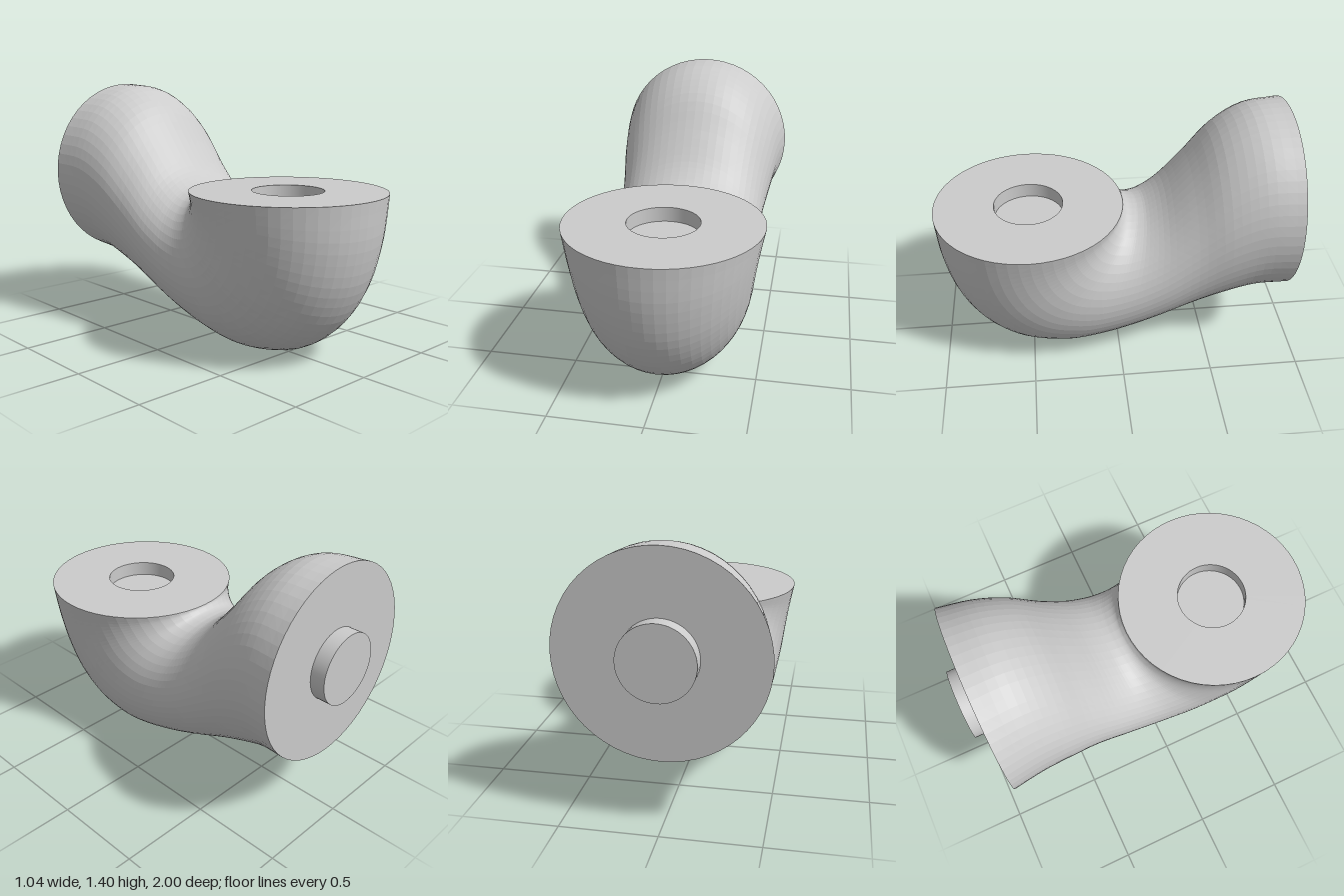
import * as THREE from 'three';

const SEG = 56, RINGS = 48;
const R = 0.52, PEG = 0.19, DEPTH = 0.08;

// Cross-sections from cup rim to rear flange:
// [inner z, inner y, outer z, outer y, half width]
const SECTIONS = [
  [-0.04, 0.875, 1.0, 0.875, 0.52],
  [-0.045, 0.865, 0.98, 0.63, 0.495],
  [-0.055, 0.855, 0.92, 0.4, 0.475],
  [-0.065, 0.847, 0.8, 0.2, 0.46],
  [-0.08, 0.842, 0.62, 0.06, 0.445],
  [-0.1, 0.84, 0.38, 0.003, 0.435],
  [-0.13, 0.842, 0.18, 0.022, 0.428],
  [-0.18, 0.862, -0.02, 0.075, 0.425],
  [-0.27, 0.935, -0.22, 0.145, 0.427],
  [-0.4, 1.09, -0.42, 0.225, 0.437],
  [-0.55, 1.275, -0.6, 0.29, 0.465],
  [-0.72, 1.38, -0.76, 0.34, 0.49],
  [-0.92, 1.4, -0.92, 0.36, 0.52],
];

// Elliptical sections lofted between the inner and outer bend profiles
function elbowGeometry() {
  const spline = (pts) => new THREE.CatmullRomCurve3(pts, false, 'catmullrom', 0.5);
  const inner = spline(SECTIONS.map((s) => new THREE.Vector3(0, s[1], s[0])));
  const outer = spline(SECTIONS.map((s) => new THREE.Vector3(s[4], s[3], s[2])));
  const pos = [], index = [];
  for (let i = 0; i <= RINGS; i++) {
    const a = inner.getPoint(i / RINGS), b = outer.getPoint(i / RINGS);
    for (let j = 0; j < SEG; j++) {
      const t = (j / SEG) * Math.PI * 2, c = Math.cos(t) / 2;
      pos.push(
        Math.sin(t) * b.x,
        (a.y + b.y) / 2 + c * (b.y - a.y),
        (a.z + b.z) / 2 + c * (b.z - a.z)
      );
      if (i < RINGS) {
        const p = i * SEG + j, q = i * SEG + ((j + 1) % SEG);
        index.push(p, p + SEG, q, q, p + SEG, q + SEG);
      }
    }
  }
  const g = new THREE.BufferGeometry();
  g.setAttribute('position', new THREE.Float32BufferAttribute(pos, 3));
  g.setIndex(index);
  g.computeVertexNormals();
  return g;
}

export function createModel() {
  const group = new THREE.Group();
  const grey = new THREE.MeshStandardMaterial({ color: 0xcccccc });
  const faceted = new THREE.MeshStandardMaterial({ color: 0xcccccc, flatShading: true });
  const inside = new THREE.MeshStandardMaterial({ color: 0xcccccc, side: THREE.DoubleSide });

  const add = (name, geometry, material, y, z, rx = 0) => {
    const mesh = new THREE.Mesh(geometry, material);
    mesh.name = name;
    mesh.position.set(0, y, z);
    mesh.rotation.x = rx;
    group.add(mesh);
  };

  add('elbowBody', elbowGeometry(), faceted, 0, 0);

  // Upward face with its round socket
  const up = -Math.PI / 2;
  add('topFace', new THREE.RingGeometry(PEG, R, SEG), grey, 0.875, 0.48, up);
  add('socketWall', new THREE.CylinderGeometry(PEG, PEG, DEPTH, SEG, 1, true), inside, 0.875 - DEPTH / 2, 0.48);
  add('socketFloor', new THREE.CircleGeometry(PEG, SEG), grey, 0.875 - DEPTH, 0.48, up);

  // Rear face with its round peg
  add('rearFace', new THREE.CircleGeometry(R, SEG), grey, 0.88, -0.92, Math.PI);
  add('peg', new THREE.CylinderGeometry(PEG, PEG, DEPTH, SEG), grey, 0.88, -0.96, Math.PI / 2);

  return group;
}
